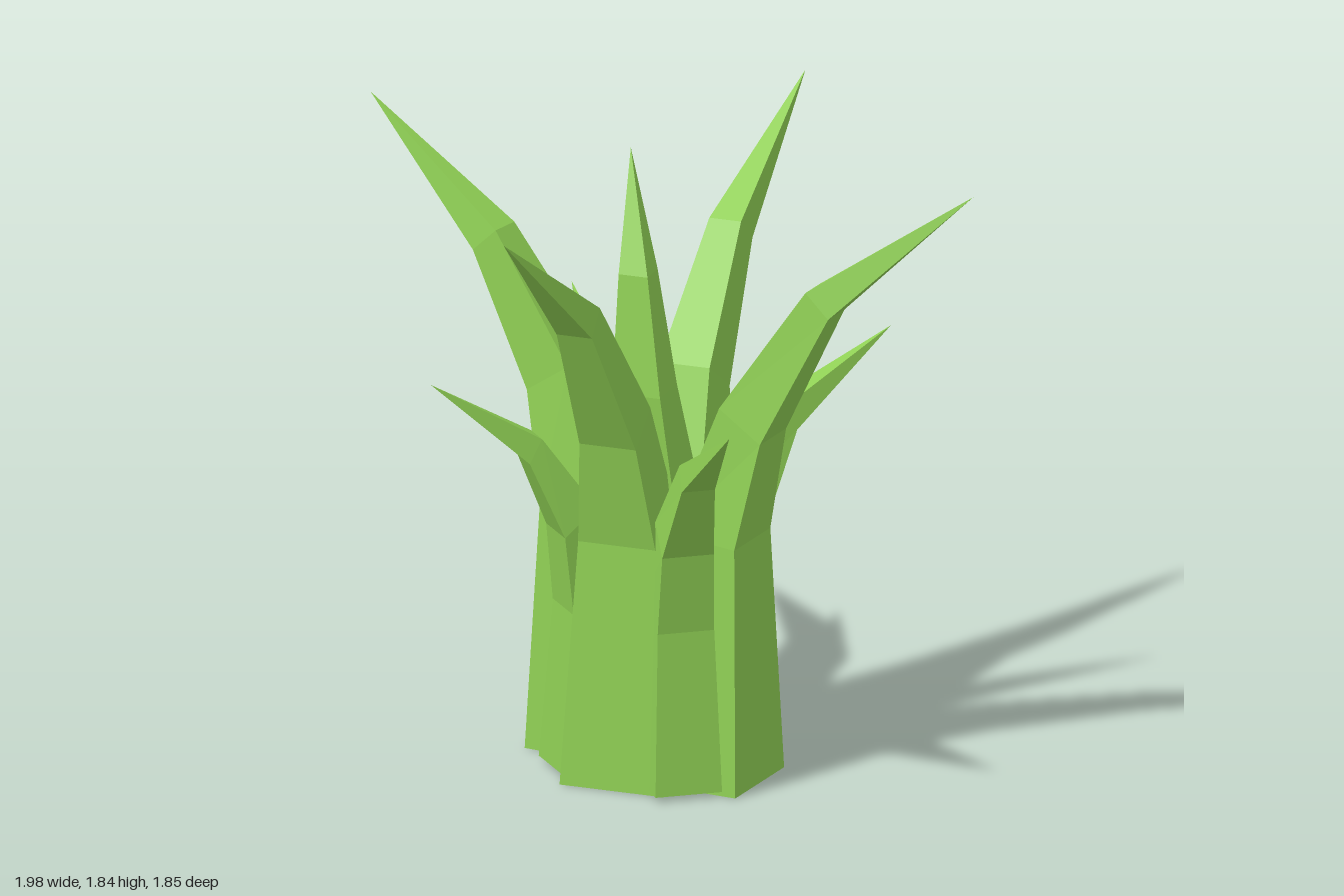
import * as THREE from 'three';

const leafMaterial = new THREE.MeshStandardMaterial({ color: 0x8fcf54, flatShading: true });

// Lofts a four-sided leaf. Each row: [outerY, outerR, innerY, innerR, sideA, sideB]; tip: [y, r, side].
function makeLeaf(name, angle, rows, tip) {
  const s = Math.sin(angle), c = Math.cos(angle);
  const positions = [], index = [];
  const add = (r, v, y) => positions.push(r * s + v * c, y, r * c - v * s);

  for (const [yo, ro, yi, ri, a, b] of rows) {
    const mid = (a + b) / 2, half = (b - a) / 2;
    add(ro, a, yo);
    add(ro, b, yo);
    add(ri, mid + half * 0.9, yi);
    add(ri, mid - half * 0.9, yi);
  }
  add(tip[1], tip[2], tip[0]);

  const last = rows.length - 1;
  const tipIndex = rows.length * 4;
  for (let i = 0; i < 4; i++) {
    const j = (i + 1) % 4;
    for (let k = 0; k < last; k++) {
      const p = k * 4, q = p + 4;
      index.push(p + i, p + j, q + j, p + i, q + j, q + i);
    }
    index.push(last * 4 + i, last * 4 + j, tipIndex);
  }
  index.push(0, 2, 1, 0, 3, 2); // underside

  const indexed = new THREE.BufferGeometry();
  indexed.setAttribute('position', new THREE.Float32BufferAttribute(positions, 3));
  indexed.setIndex(index);
  const geometry = indexed.toNonIndexed();
  geometry.computeVertexNormals();
  const mesh = new THREE.Mesh(geometry, leafMaterial);
  mesh.name = name;
  return mesh;
}

// Tall leaf: dr moves it outward, shift moves it sideways, mirror flips its lean
function tallLeaf(name, angle, dr, shift, mirror, tipSide) {
  const profile = [
    [0, 0.29, 0, -0.07, -0.18, 0.145],
    [0.74, 0.27, 0.76, 0.05, -0.13, 0.11],
    [1.06, 0.335, 1.15, 0.2, -0.1, 0.075],
    [1.45, 0.525, 1.52, 0.45, -0.095, 0.015],
  ];
  const rows = profile.map(([yo, ro, yi, ri, a, b]) => {
    const sides = [a * mirror + shift, b * mirror + shift].sort((m, n) => m - n);
    return [yo, ro + dr, yi, ri + dr, ...sides];
  });
  return makeLeaf(name, angle, rows, [1.84, 0.925 + dr, tipSide]);
}

// Short leaf pointing at its tip (x, z), with base radius r and a sideways shift fading upwards
function shortLeaf(name, x, z, r, shift) {
  const rows = [
    [0.015, r, 0.015, 0.03, shift - 0.1, shift + 0.1],
    [0.5, r - 0.03, 0.5, 0.08, shift * 0.5 - 0.085, shift * 0.5 + 0.085],
    [0.74, r, 0.82, r - 0.1, -0.08, 0.075],
    [0.97, r + 0.1, 1.04, r + 0.06, -0.05, 0.05],
  ];
  return makeLeaf(name, Math.atan2(x, z), rows, [1.23, Math.hypot(x, z), 0]);
}

// Upright leaf in the middle of the clump
function centreLeaf() {
  const rows = [
    [0, 0.14, 0, -0.14, -0.14, 0.14],
    [0.8, 0.11, 0.8, -0.11, -0.11, 0.11],
    [1.15, 0.12, 1.15, -0.03, -0.085, 0.065],
    [1.5, 0.08, 1.5, -0.01, -0.08, 0.01],
  ];
  return makeLeaf('centreLeaf', 0, rows, [1.84, -0.065, -0.1]);
}

export function createModel() {
  const model = new THREE.Group();
  model.name = 'spikyPlant';
  const H = Math.PI / 2;

  model.add(
    centreLeaf(),
    tallLeaf('frontTallLeaf', 0, 0, 0, 1, -0.1),
    tallLeaf('backTallLeaf', 2 * H, 0, 0, 1, -0.1),
    tallLeaf('leftTallLeaf', H - 0.07, 0.065, -0.054, -1, 0.07),
    tallLeaf('rightTallLeaf', -H - 0.2, 0.1, -0.09, -1, -0.066),
    shortLeaf('frontLeftShortLeaf', 0.48, 0.62, 0.36, 0),
    shortLeaf('backLeftShortLeaf', 0.52, -0.54, 0.33, -0.05),
    shortLeaf('backRightShortLeaf', -0.49, -0.58, 0.36, -0.05),
    shortLeaf('frontRightShortLeaf', -0.51, 0.47, 0.305, -0.04),
  );
  return model;
}
